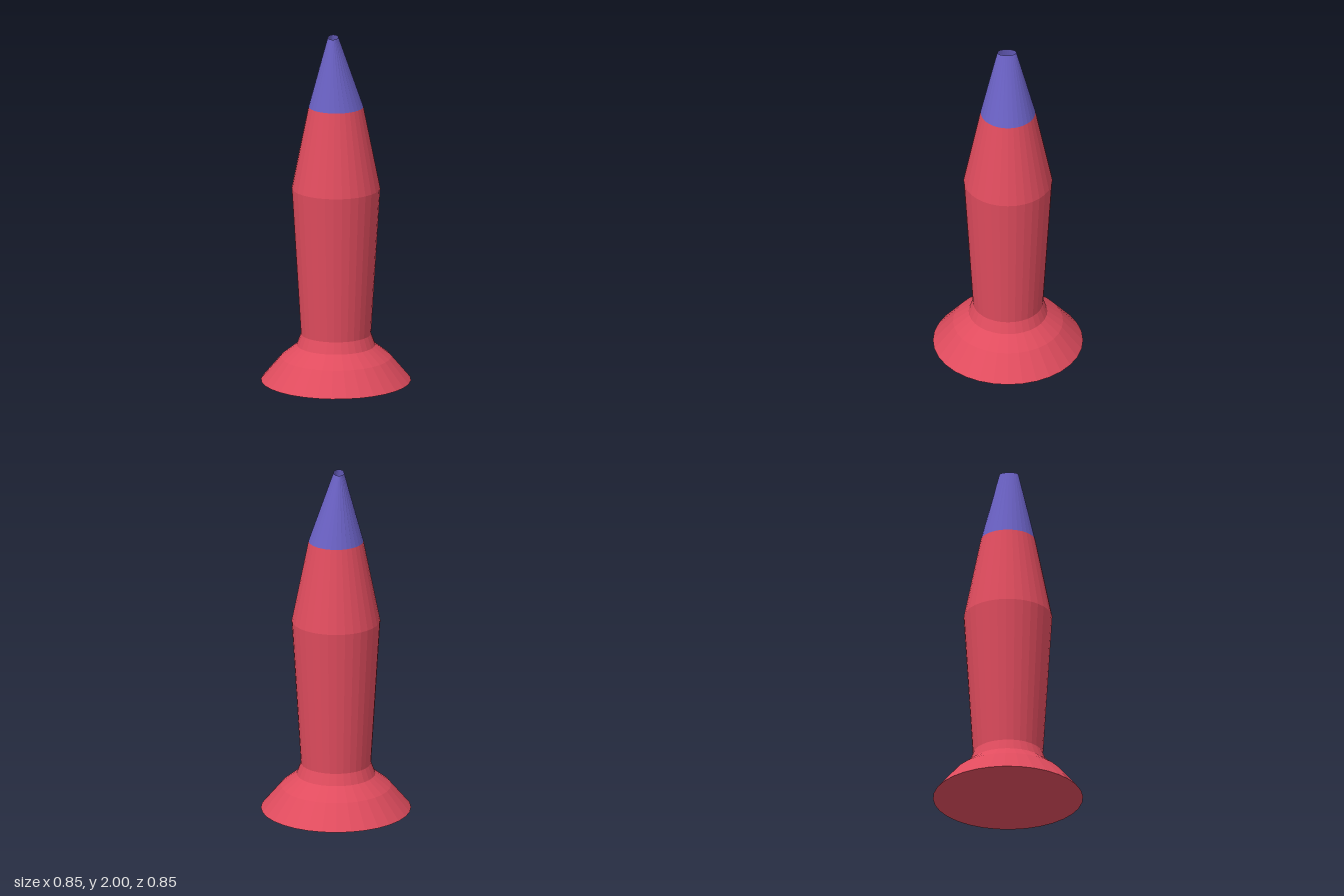
import * as THREE from 'three';

const SIDES = 32;

export function createModel() {
  const group = new THREE.Group();
  const red = new THREE.MeshStandardMaterial({ color: 0xe04c5e, flatShading: true });
  red.name = 'red body';
  const purple = new THREE.MeshStandardMaterial({ color: 0x6a61c4, flatShading: true, side: THREE.DoubleSide });
  purple.name = 'purple tip';

  // Lathe with each [radius, height] pair, bottom to top
  const turned = (name, profile) => {
    const points = profile.map(([r, y]) => new THREE.Vector2(r, y));
    const mesh = new THREE.Mesh(new THREE.LatheGeometry(points, SIDES), red);
    mesh.name = name;
    group.add(mesh);
  };

  // Flared foot with a closed underside and a narrow neck
  turned('flaredBase', [[0, 0], [0.423, 0], [0.31, 0.135], [0.222, 0.205], [0.198, 0.27]]);

  // Body widening to the shoulder, then tapering to a closed top
  turned('body', [[0.198, 0.27], [0.25, 1.12], [0.155, 1.595], [0, 1.595]]);

  // Hollow tip: a cone whose open upper rim is an off-centre ellipse
  const tipGeometry = new THREE.CylinderGeometry(1, 0.155, 0.405, SIDES, 1, true);
  tipGeometry.translate(0, 1.7975, 0);
  const pos = tipGeometry.attributes.position;
  for (let i = 0; i < pos.count; i++) {
    if (pos.getY(i) > 1.8) {
      pos.setX(i, pos.getX(i) * 0.03 - 0.016);
      pos.setZ(i, pos.getZ(i) * 0.054 + 0.006);
    }
  }
  tipGeometry.computeVertexNormals();
  const tip = new THREE.Mesh(tipGeometry, purple);
  tip.name = 'hollowTip';
  group.add(tip);

  return group;
}
